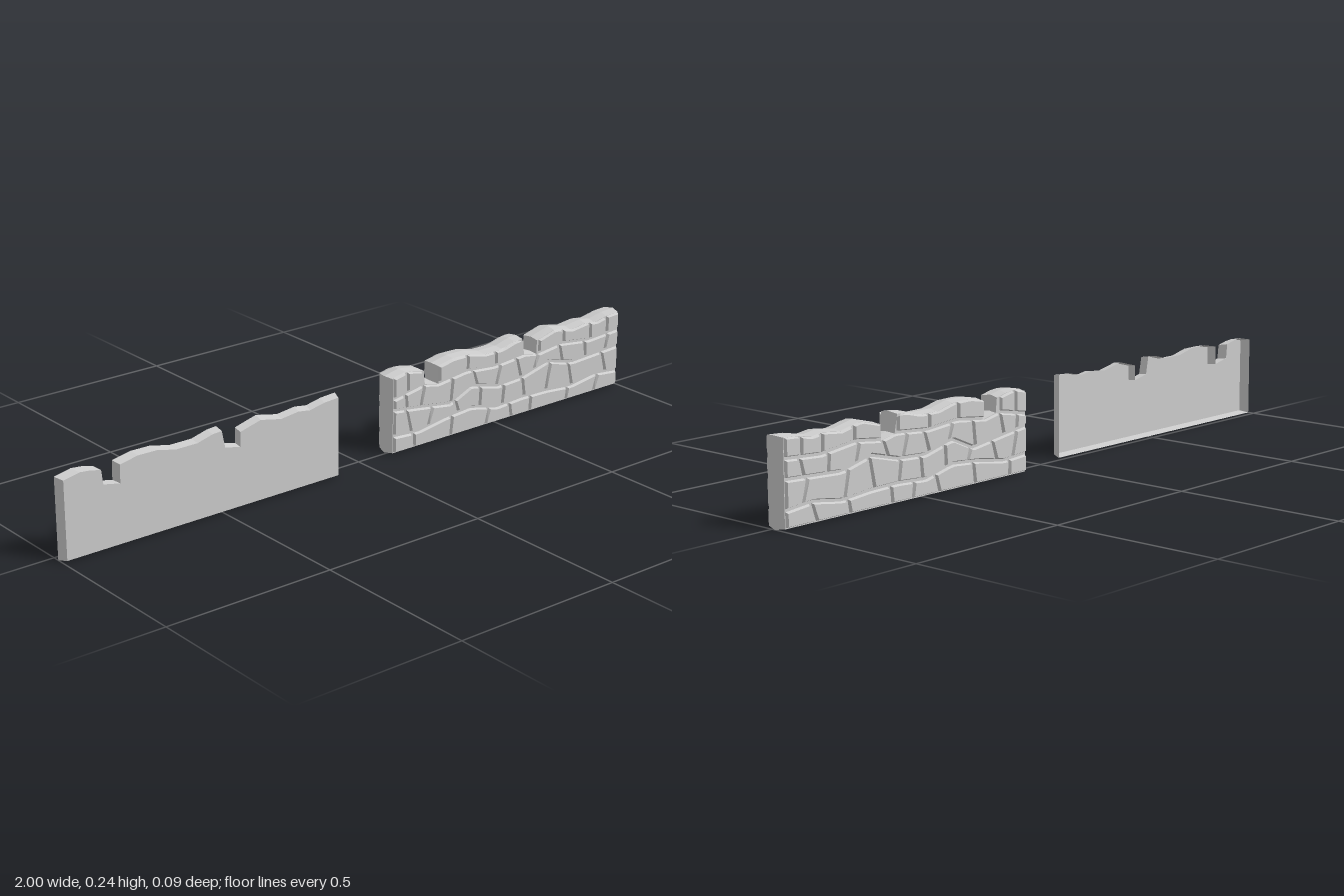
import * as THREE from 'three';
import { mergeGeometries } from 'three/addons/utils/BufferGeometryUtils.js';

const material = new THREE.MeshStandardMaterial({ color: 0xcccccc, flatShading: true, side: THREE.DoubleSide });
const MID = -0.0095; // centre plane of the stone wall
const GROOVE = 0.029; // half depth at the joints
const FACE = 0.0375; // half depth at the stone faces

// Worn top edge with two notches, x measured from the wall's left end
const crest = [
  [0, 0.231], [0.05, 0.241], [0.08, 0.238], [0.115, 0.23], [0.12, 0.187], [0.172, 0.176], [0.173, 0.23],
  [0.23, 0.241], [0.29, 0.24], [0.35, 0.226], [0.42, 0.226], [0.47, 0.239], [0.5, 0.241], [0.51, 0.189],
  [0.56, 0.178], [0.561, 0.222], [0.63, 0.24], [0.7, 0.225], [0.76, 0.232], [0.8, 0.226], [0.85, 0.236], [0.9, 0.239],
];

// Joints between the courses of stone
const courses = [
  [[0, 0.003], [0.9, 0.003]],
  [[0, 0.057], [0.1, 0.05], [0.2, 0.066], [0.3, 0.074], [0.4, 0.05], [0.5, 0.056], [0.6, 0.054], [0.7, 0.045], [0.8, 0.06], [0.9, 0.05]],
  [[0, 0.135], [0.1, 0.122], [0.22, 0.105], [0.3, 0.14], [0.4, 0.115], [0.5, 0.12], [0.6, 0.145], [0.7, 0.12], [0.8, 0.125], [0.9, 0.13]],
  [[0, 0.166], [0.12, 0.188], [0.172, 0.177], [0.28, 0.19], [0.39, 0.18], [0.51, 0.19], [0.56, 0.179], [0.65, 0.19], [0.77, 0.175], [0.9, 0.183]],
  crest,
];

// Upright joints in each course; the top course is split by the notches
const rows = [
  [0, [0.006, 0.08, 0.22, 0.36, 0.45, 0.53, 0.68, 0.8, 0.894]],
  [1, [0.006, 0.06, 0.14, 0.24, 0.33, 0.42, 0.5, 0.6, 0.69, 0.83, 0.894]],
  [2, [0.006, 0.05, 0.11, 0.22, 0.31, 0.4, 0.48, 0.55, 0.65, 0.75, 0.84, 0.894]],
  [3, [0.006, 0.055, 0.115]],
  [3, [0.173, 0.28, 0.39, 0.505]],
  [3, [0.561, 0.66, 0.77, 0.84, 0.894]],
];

function heightAt(points, x) {
  let i = 0;
  while (i < points.length - 2 && points[i + 1][0] < x) i++;
  const [a, b] = [points[i], points[i + 1]];
  return a[1] + ((b[1] - a[1]) * (x - a[0])) / (b[0] - a[0]);
}

// Sloped sides from loop a at depth z0 to loop b at depth z1, capped at b
function frustum(a, b, z0, z1) {
  const pos = [];
  const at = (p, z) => pos.push(p[0], p[1], z);
  a.forEach((p, i) => {
    const j = (i + 1) % a.length;
    at(p, z0); at(a[j], z0); at(b[j], z1);
    at(p, z0); at(b[j], z1); at(b[i], z1);
  });
  const flat = b.map((p) => new THREE.Vector2(p[0], p[1]));
  for (const tri of THREE.ShapeUtils.triangulateShape(flat, [])) tri.forEach((k) => at(b[k], z1));
  const geo = new THREE.BufferGeometry();
  geo.setAttribute('position', new THREE.Float32BufferAttribute(pos, 3));
  geo.computeVertexNormals();
  return geo;
}

// Copy mirrored front to back, with the corner order restored
function mirrorZ(geo) {
  const out = geo.clone().scale(1, 1, -1);
  const p = out.attributes.position;
  const a = new THREE.Vector3(), b = new THREE.Vector3();
  for (let i = 0; i < p.count; i += 3) {
    a.fromBufferAttribute(p, i + 1);
    b.fromBufferAttribute(p, i + 2);
    p.setXYZ(i + 1, b.x, b.y, b.z);
    p.setXYZ(i + 2, a.x, a.y, a.z);
  }
  out.computeVertexNormals();
  return out;
}

const outline = [[0, 0], [0.9, 0], ...crest.slice().reverse()];
const shrink = (dx, dy) => outline.map(([x, y]) => [
  0.45 + (x - 0.45) * (1 - dx / 0.45),
  0.121 + (y - 0.121) * (1 - dy / 0.121),
]);

// Outline of one stone, drawn in by gap g; upright joints lean a little
function stoneLoop(row, x0, x1, g) {
  const lean = (x) => (row === 3 || x < 0.01 || x > 0.89 ? 0 : 0.008 * Math.sin(x * 41 + row * 2));
  const lower = [], upper = [];
  const n = 6;
  for (let i = 0; i <= n; i++) {
    const t = i / n;
    const xb = THREE.MathUtils.lerp(x0 - lean(x0) + g, x1 - lean(x1) - g, t);
    const xt = THREE.MathUtils.lerp(x0 + lean(x0) + g, x1 + lean(x1) - g, t);
    lower.push([xb, heightAt(courses[row], xb) + g]);
    upper.unshift([xt, heightAt(courses[row + 1], xt) - g]);
  }
  return [...lower, ...upper];
}

function addMesh(group, name, geo) {
  const mesh = new THREE.Mesh(geo, material);
  mesh.name = name;
  group.add(mesh);
}

export function createModel() {
  const model = new THREE.Group();
  model.name = 'brokenWalls';

  // Plain shell, open at the back
  const shell = new THREE.Group();
  shell.name = 'plainWallShell';
  shell.position.x = -1;
  addMesh(shell, 'shellPlate', frustum(outline, shrink(0.01, 0.005), 0.02, 0.0475));
  model.add(shell);

  // Stone wall, the same on both faces
  const wall = new THREE.Group();
  wall.name = 'stoneWall';
  wall.position.set(0.1, 0, MID);
  const core = frustum(outline, shrink(0.008, 0.004), 0, GROOVE);
  addMesh(wall, 'wallCore', mergeGeometries([core, mirrorZ(core)]));

  const stones = [];
  for (const [row, joints] of rows) {
    for (let i = 0; i < joints.length - 1; i++) {
      const base = stoneLoop(row, joints[i], joints[i + 1], 0.003);
      const face = stoneLoop(row, joints[i], joints[i + 1], 0.0075);
      stones.push(frustum(base, face, GROOVE - 0.002, FACE));
    }
  }
  const front = mergeGeometries(stones);
  addMesh(wall, 'frontStones', front);
  addMesh(wall, 'backStones', mirrorZ(front));
  model.add(wall);

  return model;
}
